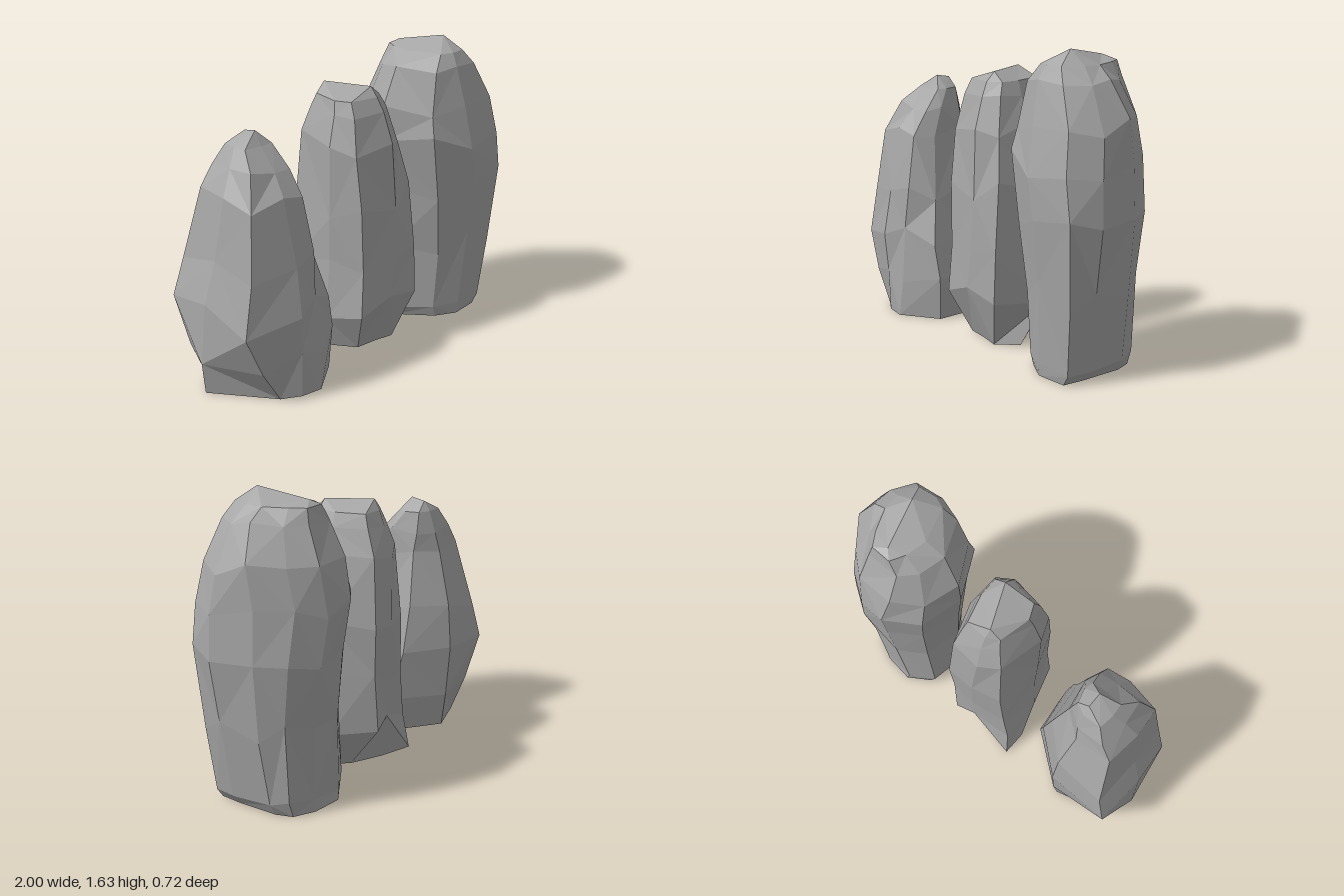
import * as THREE from 'three';

// Seeded noise in 0..1
function seeded(seed) {
  let s = seed;
  return () => ((s = (s * 16807) % 2147483647) / 2147483647);
}

// Rescale an outline of [x, z] points to the unit square
function unit(points) {
  const box = new THREE.Box2().setFromPoints(points.map(([x, z]) => new THREE.Vector2(x, z)));
  const size = box.getSize(new THREE.Vector2());
  return points.map(([x, z]) => [(x - box.min.x) / size.x, (z - box.min.y) / size.y]);
}

// Loft a stone: its outline changes from foot to waist to crown, rings are [y, x0, x1, z0, z1]
function stoneGeometry({ foot, waist, waistY, crown, rings, ridge, seed }) {
  const rand = seeded(seed), n = foot.length, last = rings.length - 1;
  const [low, mid, high] = [foot, waist, crown].map(unit);
  const loops = rings.map(([y, x0, x1, z0, z1], r) => {
    const below = y < waistY;
    const t = below ? y / waistY : (y - waistY) / (rings[last][0] - waistY);
    const [from, to] = below ? [low, mid] : [mid, high];
    const gap = r === 0 || r === last ? 0 : Math.min(y - rings[r - 1][0], rings[r + 1][0] - y);
    return from.map(([u, v], i) => {
      // Chipped facets: corners pulled inward and shifted in height
      const keep = 1 - (r === 0 ? 0 : rand() * 0.04);
      const px = THREE.MathUtils.lerp(u, to[i][0], t) - 0.5;
      const pz = THREE.MathUtils.lerp(v, to[i][1], t) - 0.5;
      return [
        (x0 + x1) / 2 + px * (x1 - x0) * keep,
        y + (rand() - 0.5) * gap * 0.5,
        (z0 + z1) / 2 + pz * (z1 - z0) * keep,
      ];
    });
  });
  const pos = [];
  const tri = (...corners) => corners.forEach((c) => pos.push(...c));
  const [, bx0, bx1, bz0, bz1] = rings[0];
  const centre = [(bx0 + bx1) / 2, 0, (bz0 + bz1) / 2];
  // Each crown corner meets the nearer end of the ridge
  const distance = (p, q) => Math.hypot(p[0] - q[0], p[2] - q[2]);
  const summit = loops[last].map((p) => (distance(p, ridge[0]) < distance(p, ridge[1]) ? ridge[0] : ridge[1]));
  for (let i = 0; i < n; i++) {
    const j = (i + 1) % n;
    tri(centre, loops[0][i], loops[0][j]);
    for (let r = 0; r < last; r++) {
      const a = loops[r][i], b = loops[r][j], c = loops[r + 1][i], d = loops[r + 1][j];
      if ((i + r) % 2) { tri(b, a, c); tri(b, c, d); }
      else { tri(b, a, d); tri(a, c, d); }
    }
    tri(loops[last][j], loops[last][i], summit[i]);
    if (summit[i] !== summit[j]) tri(loops[last][j], summit[i], summit[j]);
  }
  const geometry = new THREE.BufferGeometry();
  geometry.setAttribute('position', new THREE.Float32BufferAttribute(pos, 3));
  geometry.computeVertexNormals();
  return geometry;
}

const stones = {
  // Short, wide stone with undercut corners and a sloped front shoulder
  shortStone: {
    seed: 41,
    waistY: 0.46,
    foot: [[-0.86, -0.16], [-0.62, -0.23], [-0.33, 0], [-0.32, 0.2], [-0.52, 0.35], [-0.64, 0.335], [-0.74, 0.28], [-0.97, -0.04]],
    waist: [[-0.98, -0.29], [-0.6, -0.29], [-0.37, -0.1], [-0.32, 0.22], [-0.5, 0.31], [-0.65, 0.355], [-0.97, 0.28], [-1, 0]],
    crown: [[-0.84, -0.15], [-0.64, -0.16], [-0.52, -0.08], [-0.48, 0.1], [-0.5, 0.22], [-0.65, 0.23], [-0.84, 0.22], [-0.86, 0.05]],
    rings: [
      [0, -0.97, -0.32, -0.23, 0.35], [0.22, -1, -0.3, -0.27, 0.36], [0.46, -0.99, -0.335, -0.295, 0.36],
      [0.7, -0.925, -0.39, -0.27, 0.32], [1.05, -0.875, -0.475, -0.18, 0.25], [1.18, -0.8, -0.5, -0.16, 0.16],
      [1.28, -0.74, -0.54, -0.12, 0.05],
    ],
    ridge: [[-0.625, 1.35, 0], [-0.625, 1.335, -0.08]],
  },
  // Slim middle stone with a short diagonal ridge
  slimStone: {
    seed: 733,
    waistY: 0.25,
    foot: [[-0.235, -0.24], [-0.05, -0.18], [0.13, -0.09], [0.275, 0.08], [0.18, 0.19], [0.07, 0.17], [-0.06, 0.16], [-0.235, -0.1]],
    waist: [[-0.24, -0.23], [0, -0.26], [0.12, -0.28], [0.3, -0.07], [0.29, 0.28], [0.06, 0.29], [-0.15, 0.27], [-0.22, 0.05]],
    crown: [[-0.1, -0.12], [-0.03, -0.16], [0.1, -0.15], [0.15, 0], [0.15, 0.1], [0.08, 0.15], [-0.1, 0.13], [-0.14, 0.05]],
    rings: [
      [0, -0.235, 0.275, -0.24, 0.19], [0.25, -0.225, 0.305, -0.265, 0.285], [0.5, -0.2, 0.295, -0.265, 0.285],
      [0.85, -0.2, 0.28, -0.28, 0.28], [1.17, -0.195, 0.22, -0.25, 0.25], [1.33, -0.15, 0.175, -0.2, 0.2],
      [1.41, -0.13, 0.145, -0.17, 0.16],
    ],
    ridge: [[-0.03, 1.465, -0.13], [0.08, 1.46, 0.11]],
  },
  // Tall stone with a broad shoulder and a crest sloping backwards
  tallStone: {
    seed: 2917,
    waistY: 1.08,
    foot: [[0.39, 0.02], [0.41, -0.2], [0.53, -0.28], [0.7, -0.26], [0.81, -0.2], [0.84, -0.11], [0.84, 0.12], [0.83, 0.24], [0.66, 0.26], [0.54, 0.2]],
    waist: [[0.29, 0], [0.35, -0.24], [0.53, -0.36], [0.7, -0.35], [0.84, -0.25], [0.96, -0.09], [1, 0.14], [0.92, 0.3], [0.66, 0.33], [0.42, 0.25]],
    crown: [[0.38, 0], [0.42, -0.13], [0.49, -0.21], [0.68, -0.21], [0.76, -0.13], [0.84, 0], [0.84, 0.1], [0.76, 0.21], [0.6, 0.23], [0.48, 0.2]],
    rings: [
      [0, 0.39, 0.84, -0.28, 0.26], [0.07, 0.34, 0.885, -0.285, 0.27], [0.48, 0.36, 0.95, -0.295, 0.3],
      [0.8, 0.325, 1, -0.34, 0.335], [1.08, 0.29, 0.995, -0.365, 0.345], [1.28, 0.295, 0.975, -0.31, 0.3],
      [1.48, 0.38, 0.86, -0.23, 0.25], [1.56, 0.49, 0.77, -0.215, 0.21],
    ],
    ridge: [[0.67, 1.635, 0.09], [0.6, 1.585, -0.17]],
  },
};

export function createModel() {
  const rock = new THREE.MeshStandardMaterial({ color: 0xa6a6a6, flatShading: true });
  rock.name = 'greyRock';
  const group = new THREE.Group();
  group.name = 'standingStones';
  for (const [name, spec] of Object.entries(stones)) {
    const mesh = new THREE.Mesh(stoneGeometry(spec), rock);
    mesh.name = name;
    group.add(mesh);
  }
  return group;
}
